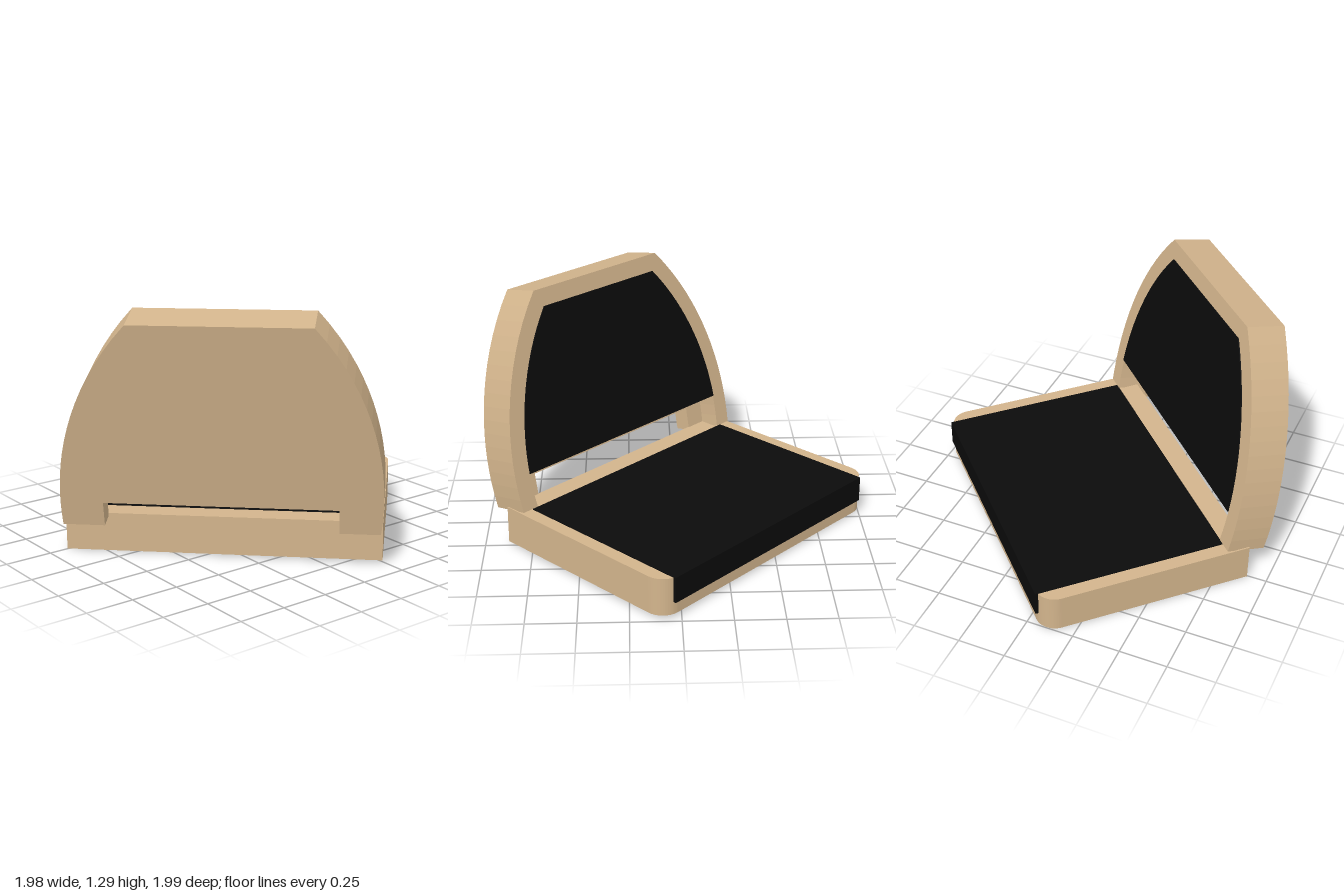
import * as THREE from 'three';

const wood = new THREE.MeshStandardMaterial({ color: 0xd2b48c });
const black = new THREE.MeshStandardMaterial({ color: 0x0b0b0b });

// Bowed side of the backrest: an arc, inset from the outer edge
const ARC_R = 1.42, ARC_X = 0.8 - 1.42, ARC_Y = 0.15, STEPS = 16;
function sidePoints(side, y0, y1, inset) {
  const points = [];
  for (let i = 0; i <= STEPS; i++) {
    const y = y0 + (y1 - y0) * i / STEPS;
    const half = Math.sqrt((ARC_R - inset) ** 2 - (y - ARC_Y) ** 2) + ARC_X;
    points.push(new THREE.Vector2(side * half + 0.035 * y, y));
  }
  return points;
}

// Counter-clockwise outline: up the +x side, down the -x side
function backOutline(y0, y1, inset) {
  return [...sidePoints(1, y0, y1, inset), ...sidePoints(-1, y1, y0, inset)];
}

function extruded(name, points, z0, z1, material) {
  const geometry = new THREE.ExtrudeGeometry(new THREE.Shape(points), {
    depth: z1 - z0, bevelEnabled: false, curveSegments: 10,
  });
  geometry.translate(0, 0, z0);
  const mesh = new THREE.Mesh(geometry, material);
  mesh.name = name;
  return mesh;
}

function createSeat() {
  const seat = new THREE.Group();
  seat.name = 'seat';

  // Base board with rounded front corners
  const w = 0.8, back = -0.455, front = 0.66, r = 0.1;
  const outline = new THREE.Shape();
  outline.moveTo(-w, back);
  outline.lineTo(w, back);
  outline.lineTo(w, front - r);
  outline.absarc(w - r, front - r, r, 0, Math.PI / 2, false);
  outline.lineTo(-w + r, front);
  outline.absarc(-w + r, front - r, r, Math.PI / 2, Math.PI, false);
  outline.closePath();
  const base = extruded('seatBase', outline.getPoints(10).slice(0, -1), 0, 0.2, wood);
  base.rotation.x = -Math.PI / 2;
  seat.add(base);

  // Cushion let into the board, standing slightly proud at top and front
  const cushion = new THREE.Mesh(new THREE.BoxGeometry(1.456, 0.138, 1.01), black);
  cushion.name = 'seatCushion';
  cushion.position.set(0, 0.136, -0.167);
  seat.add(cushion);
  return seat;
}

function createBackrest() {
  const backrest = new THREE.Group();
  backrest.name = 'backrest';
  const top = 1.092, rim = 0.095, pocket = 0.115, thickness = 0.21;

  // Front arch, open at the bottom, that surrounds the pad
  const arch = [
    ...backOutline(0, top, 0),
    ...sidePoints(-1, 0, 1.0, rim),
    ...sidePoints(1, 1.0, 0, rim),
  ];
  backrest.add(extruded('backrestRim', arch, 0, pocket, wood));

  // Rear board with a notch between its two feet
  const notch = [[-0.58, 0], [-0.58, 0.13], [0.59, 0.13], [0.59, 0]]
    .map(([x, y]) => new THREE.Vector2(x, y));
  backrest.add(extruded('backrestBoard', [...backOutline(0, top, 0), ...notch], pocket, thickness, wood));

  // Pad set into the arch
  backrest.add(extruded('backrestPad', backOutline(0.185, 1.0, rim), -0.006, pocket, black));

  backrest.position.set(0, 0.207, 0.335);
  backrest.rotation.x = 0.2;
  return backrest;
}

export function createModel() {
  const model = new THREE.Group();
  model.name = 'legless chair';

  // Slightly uneven stance, turned diagonally
  const stance = new THREE.Group();
  stance.name = 'stance';
  stance.rotation.set(0.005, 0, 0.01);
  stance.position.set(-0.014, 0.011, 0);
  stance.add(createSeat(), createBackrest());

  const turned = new THREE.Group();
  turned.name = 'chair';
  turned.rotation.y = -Math.PI / 4;
  turned.add(stance);
  model.add(turned);
  return model;
}
